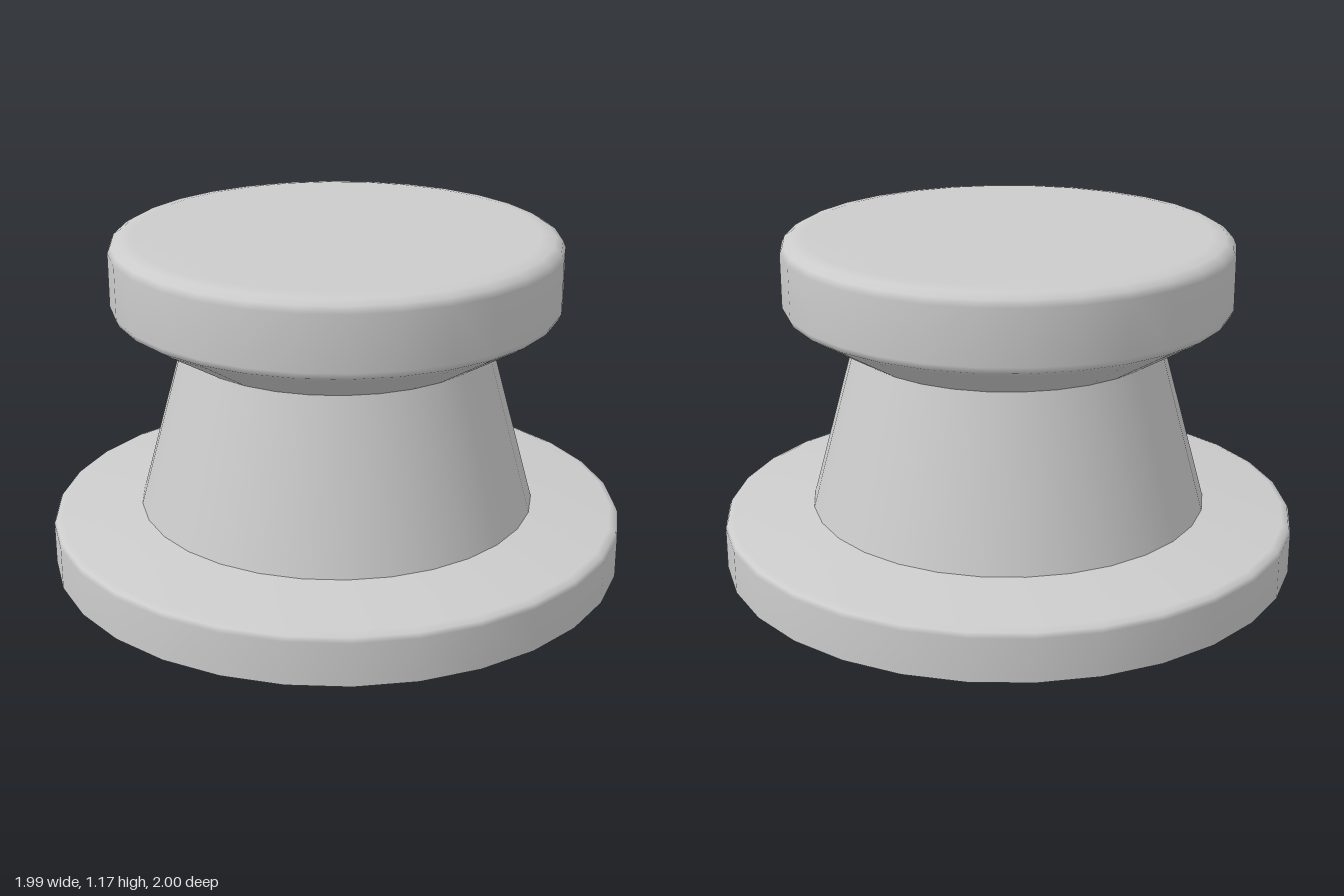
import * as THREE from 'three';

const SIDES = 30;

export function createModel() {
  const group = new THREE.Group();
  const material = new THREE.MeshStandardMaterial({ color: 0xcccccc });

  // Each part is a smooth turned profile; part borders stay sharp.
  const turn = (name, points) => {
    const profile = points.map(([r, y]) => new THREE.Vector2(r, y));
    const mesh = new THREE.Mesh(new THREE.LatheGeometry(profile, SIDES), material);
    mesh.name = name;
    group.add(mesh);
  };

  // Flat underside
  turn('underside', [[0, 0], [1, 0]]);

  // Wide flange with a softened rim and a gently sloping top
  turn('baseFlange', [
    [1, 0], [1, 0.15], [0.993, 0.166], [0.97, 0.175], [0.69, 0.205],
  ]);

  // Tapered neck
  turn('neck', [[0.69, 0.205], [0.535, 0.775]]);

  // Head: flared underside, upright rim, rounded top edge and flat top
  turn('head', [
    [0.535, 0.775], [0.73, 0.893], [0.76, 0.913], [0.77, 0.935],
    [0.77, 1.12], [0.76, 1.143], [0.735, 1.158], [0.69, 1.166], [0, 1.168],
  ]);

  return group;
}
